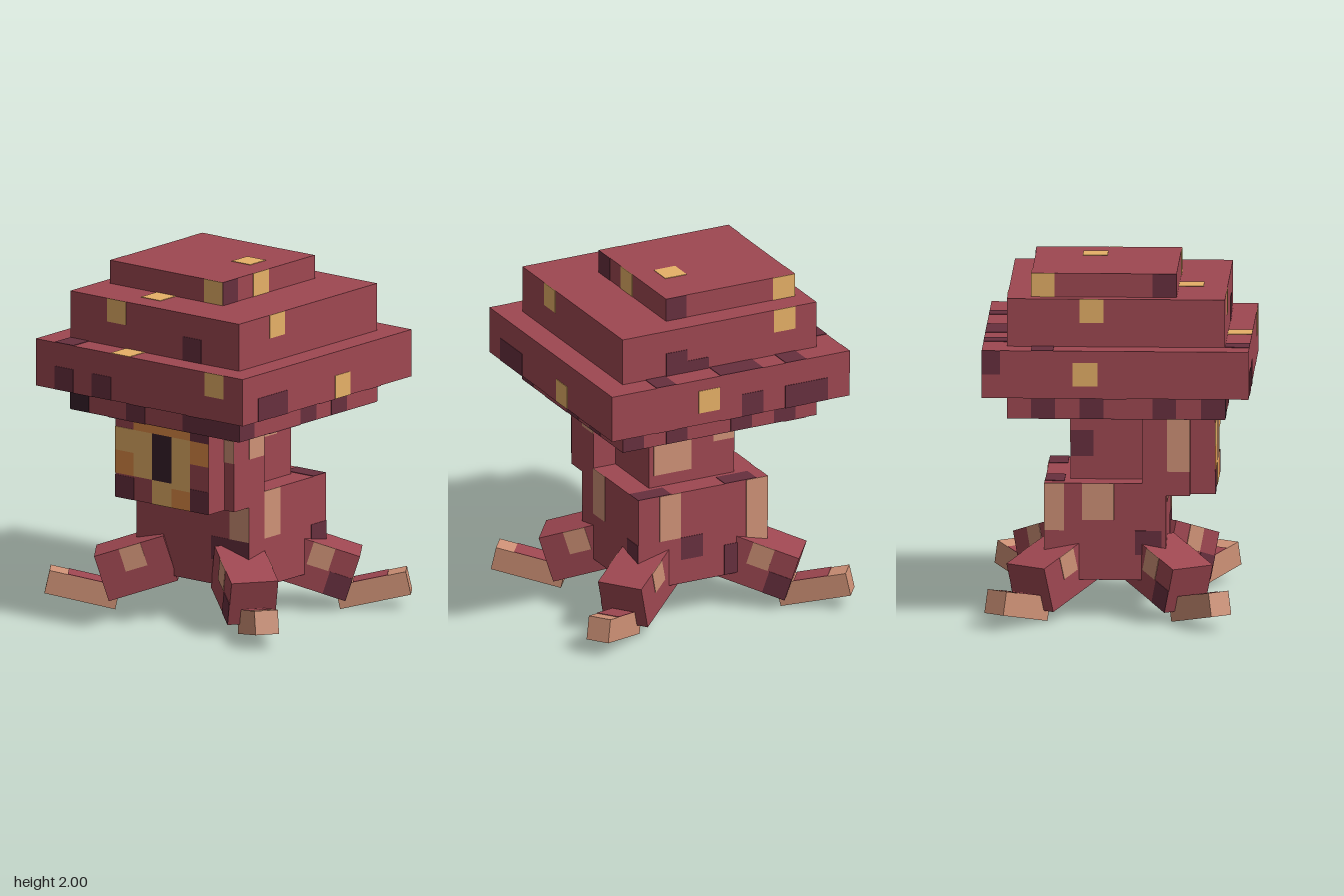
import * as THREE from 'three';

const mat = (name, color) => {
  const m = new THREE.MeshStandardMaterial({ color });
  m.name = name;
  return m;
};

export function createModel() {
  const maroon = mat('maroon', 0x9e4751), dark = mat('dark plum', 0x672f3e);
  const black = mat('eye black', 0x38202c), gold = mat('gold', 0xe6b067);
  const orange = mat('orange', 0xe08c47), tan = mat('tan', 0xce9176);
  const model = new THREE.Group();

  // Box from its minimum and maximum corners
  const box = (parent, name, m, x0, x1, y0, y1, z0, z1) => {
    const mesh = new THREE.Mesh(new THREE.BoxGeometry(x1 - x0, y1 - y0, z1 - z0), m);
    mesh.position.set((x0 + x1) / 2, (y0 + y1) / 2, (z0 + z1) / 2);
    mesh.name = name;
    parent.add(mesh);
    return mesh;
  };

  // Thin patches lying on a plane; each entry is [material, a0, a1, b0, b1].
  // x planes take (z, y), y planes take (x, z), z planes take (x, y).
  const T = 0.003;
  const paint = (parent, name, axis, sign, at, list) => {
    const p = [Math.min(at, at + sign * T), Math.max(at, at + sign * T)];
    for (const [m, a0, a1, b0, b1] of list) {
      const r = axis === 'x' ? [...p, b0, b1, a0, a1]
        : axis === 'y' ? [a0, a1, ...p, b0, b1] : [a0, a1, b0, b1, ...p];
      box(parent, name, m, ...r);
    }
  };

  // Stepped cap
  const cap = new THREE.Group();
  cap.name = 'cap';
  model.add(cap);
  box(cap, 'capRim', maroon, -0.615, 0.615, 1.18, 1.32, -0.615, 0.615);
  box(cap, 'capBrim', maroon, -0.753, 0.753, 1.32, 1.592, -0.753, 0.753);
  box(cap, 'capCrown', maroon, -0.615, 0.615, 1.592, 1.865, -0.615, 0.615);
  box(cap, 'capTop', maroon, -0.548, 0.27, 1.865, 2, -0.478, 0.34);

  // Spots on the cap top
  paint(cap, 'capTopSpot', 'z', 1, 0.34, [[gold, 0.135, 0.27, 1.865, 2]]);
  paint(cap, 'capTopSpot', 'x', 1, 0.27, [[dark, 0.205, 0.34, 1.865, 2], [gold, -0.07, 0.07, 1.865, 2]]);
  paint(cap, 'capTopSpot', 'z', -1, -0.478, [[dark, 0.14, 0.27, 1.865, 2], [gold, -0.548, -0.41, 1.865, 2]]);
  paint(cap, 'capTopSpot', 'x', -1, -0.548, [[gold, -0.478, -0.35, 1.865, 2], [dark, 0.205, 0.34, 1.865, 2]]);
  paint(cap, 'capTopSpot', 'y', 1, 2, [[gold, 0, 0.135, -0.21, -0.07]]);

  // Spots on the crown
  paint(cap, 'crownSpot', 'z', 1, 0.615, [[gold, -0.345, -0.21, 1.73, 1.865], [dark, 0.205, 0.34, 1.592, 1.73]]);
  paint(cap, 'crownSpot', 'x', 1, 0.615, [[gold, 0.21, 0.345, 1.73, 1.865]]);
  paint(cap, 'crownSpot', 'z', -1, -0.615, [[dark, 0.07, 0.205, 1.592, 1.66],
    [dark, 0.205, 0.34, 1.592, 1.73], [gold, -0.48, -0.345, 1.73, 1.865]]);
  paint(cap, 'crownSpot', 'x', -1, -0.615, [[gold, -0.205, -0.07, 1.73, 1.865]]);
  paint(cap, 'crownSpot', 'y', 1, 1.865, [[gold, -0.21, -0.07, 0.34, 0.48]]);

  // Spots on the brim
  paint(cap, 'brimSpot', 'z', 1, 0.753, [[gold, 0.48, 0.615, 1.455, 1.592],
    [dark, -0.615, -0.48, 1.32, 1.455], [dark, -0.345, -0.205, 1.32, 1.455]]);
  paint(cap, 'brimSpot', 'x', 1, 0.753, [[dark, 0.35, 0.615, 1.32, 1.455], [gold, -0.205, -0.07, 1.32, 1.455]]);
  paint(cap, 'brimSpot', 'z', -1, -0.753, [[gold, 0.07, 0.205, 1.39, 1.525],
    [dark, -0.205, -0.07, 1.32, 1.455], [dark, -0.615, -0.345, 1.32, 1.455]]);
  paint(cap, 'brimSpot', 'x', -1, -0.753, [[dark, -0.753, -0.65, 1.455, 1.592], [gold, -0.24, -0.1, 1.39, 1.525]]);
  paint(cap, 'brimSpot', 'y', 1, 1.592, [[gold, -0.21, -0.07, 0.615, 0.753], [dark, -0.615, -0.48, 0.615, 0.753],
    [dark, -0.48, -0.35, -0.753, -0.615], [dark, -0.205, 0.065, -0.753, -0.615],
    [dark, 0.345, 0.47, -0.753, -0.615], [dark, -0.753, -0.615, -0.475, -0.35]]);
  // Broken dark band under the brim
  for (const a of [-0.48, -0.07, 0.34]) {
    paint(cap, 'brimSpot', 'y', -1, 1.32, [
      [dark, 0.615, 0.753, a, a + 0.135], [dark, -0.753, -0.615, a, a + 0.135],
      [dark, a, a + 0.135, 0.615, 0.753], [dark, a, a + 0.135, -0.753, -0.615]]);
  }

  // Spots on the rim
  paint(cap, 'rimSpot', 'z', 1, 0.615, [[black, -0.615, -0.48, 1.18, 1.32],
    [dark, -0.205, -0.07, 1.18, 1.32], [dark, 0.205, 0.615, 1.18, 1.32]]);
  paint(cap, 'rimSpot', 'x', 1, 0.615, [[dark, 0.48, 0.615, 1.18, 1.32],
    [dark, -0.07, 0.07, 1.18, 1.32], [dark, -0.34, -0.205, 1.18, 1.32]]);
  for (const axis of ['z', 'x']) {
    paint(cap, 'rimSpot', axis, -1, -0.615, [[dark, -0.48, -0.345, 1.18, 1.32],
      [dark, -0.205, -0.07, 1.18, 1.32], [dark, 0.205, 0.34, 1.18, 1.32], [dark, 0.48, 0.615, 1.18, 1.32]]);
  }
  // Dark underside of the cap with lighter spots
  paint(cap, 'rimUnderside', 'y', -1, 1.18, [[dark, -0.615, 0.615, -0.615, 0.615]]);
  paint(cap, 'rimUndersideSpot', 'y', -1, 1.18 - T, [
    [maroon, 0.34, 0.48, -0.34, -0.07], [maroon, 0.07, 0.34, -0.55, -0.41],
    [maroon, -0.2, -0.07, -0.48, -0.34], [maroon, -0.55, -0.41, -0.615, -0.41],
    [maroon, 0.48, 0.615, 0.07, 0.34], [maroon, -0.55, -0.41, -0.2, 0.07],
    [maroon, -0.34, -0.07, 0.48, 0.615], [maroon, 0.2, 0.41, 0.41, 0.55],
    [tan, -0.34, -0.2, -0.55, -0.41]]);

  // Head, neck and body
  box(model, 'faceBlock', maroon, -0.34, 0.34, 0.7, 1.18, 0.41, 0.55);
  box(model, 'head', maroon, -0.41, 0.41, 0.7, 1.18, 0.14, 0.41);
  box(model, 'neck', maroon, -0.27, 0.27, 0.77, 1.18, -0.27, 0.14);
  box(model, 'body', maroon, -0.41, 0.41, 0.22, 0.77, -0.41, 0.275);

  // Single-eyed face
  paint(model, 'eye', 'z', 1, 0.55, [[black, -0.07, 0.07, 0.84, 1.11]]);
  paint(model, 'facePatch', 'z', 1, 0.55, [
    [orange, -0.205, 0.205, 1.11, 1.18], [dark, 0.205, 0.34, 1.11, 1.18],
    [gold, -0.34, -0.205, 0.975, 1.11], [gold, -0.205, -0.07, 0.84, 1.11],
    [gold, 0.07, 0.205, 0.84, 1.11], [orange, 0.205, 0.34, 0.975, 1.11],
    [orange, -0.34, -0.205, 0.84, 0.975], [dark, -0.34, -0.205, 0.7, 0.83],
    [gold, -0.07, 0.07, 0.7, 0.84], [gold, 0.07, 0.205, 0.81, 0.84],
    [orange, 0.07, 0.205, 0.7, 0.81], [dark, 0.205, 0.34, 0.7, 0.83]]);

  // Patches on the head and neck
  paint(model, 'headPatch', 'z', 1, 0.41, [[tan, 0.34, 0.41, 0.98, 1.11]]);
  paint(model, 'headPatch', 'x', 1, 0.41, [[tan, 0.14, 0.275, 0.98, 1.18]]);
  paint(model, 'headPatch', 'x', -1, -0.41, [[tan, 0.28, 0.41, 0.84, 1.18]]);
  paint(model, 'neckPatch', 'x', 1, 0.27, [[tan, -0.14, 0.14, 1.03, 1.18], [tan, 0, 0.14, 0.9, 1.03]]);
  paint(model, 'neckPatch', 'z', -1, -0.27, [[tan, -0.27, 0.27, 1.05, 1.18],
    [tan, 0, 0.24, 0.84, 1.05], [tan, -0.27, -0.14, 0.98, 1.05]]);
  paint(model, 'neckPatch', 'x', -1, -0.27, [[dark, -0.27, -0.14, 0.9, 1.05]]);

  // Patches on the body
  paint(model, 'bodyPatch', 'z', 1, 0.275, [[tan, -0.275, -0.14, 0.64, 0.7],
    [tan, 0.27, 0.41, 0.495, 0.7], [dark, 0.135, 0.27, 0.36, 0.495], [dark, 0.27, 0.41, 0.36, 0.495]]);
  paint(model, 'bodyPatch', 'x', 1, 0.41, [[tan, 0, 0.14, 0.495, 0.77], [dark, -0.41, -0.275, 0.36, 0.495]]);
  paint(model, 'bodyPatch', 'z', -1, -0.41, [[tan, 0.14, 0.275, 0.495, 0.77], [dark, 0, 0.14, 0.36, 0.495],
    [dark, -0.27, -0.135, 0.22, 0.4], [tan, -0.41, -0.275, 0.36, 0.77]]);
  paint(model, 'bodyPatch', 'x', -1, -0.41, [[tan, -0.41, -0.3, 0.5, 0.77],
    [tan, -0.2, -0.02, 0.56, 0.77], [dark, 0.1, 0.25, 0.36, 0.5]]);
  paint(model, 'bodyPatch', 'y', 1, 0.77, [[dark, 0.2, 0.41, -0.41, -0.3], [dark, -0.34, -0.14, -0.41, -0.3]]);
  paint(model, 'bodyUnderside', 'y', -1, 0.22, [[dark, -0.41, 0.41, -0.41, 0.275]]);

  // Four splayed legs, each a sloping thigh and an upturned foot
  for (const sx of [1, -1]) for (const sz of [1, -1]) {
    const leg = new THREE.Group();
    leg.name = (sz > 0 ? 'front' : 'back') + (sx > 0 ? 'Left' : 'Right') + 'Leg';
    leg.position.set(sx * 0.18, 0.003, -0.04 + sz * 0.176);
    leg.rotation.y = Math.atan2(-sz * 0.595, sx * 0.805);
    model.add(leg);

    const thigh = new THREE.Group();
    thigh.name = 'thigh';
    thigh.position.set(0.263, 0.254, 0);
    thigh.rotation.z = -0.31;
    leg.add(thigh);
    box(thigh, 'thighBlock', maroon, -0.205, 0.205, -0.136, 0.136, -0.136, 0.136);
    for (const s of [1, -1]) {
      paint(thigh, 'thighPatch', 'z', s, s * 0.136, [[tan, -0.068, 0.06, 0, 0.136]]);
    }
    paint(thigh, 'thighPatch', 'z', 1, 0.136, [[dark, 0.07, 0.205, -0.136, 0]]);

    const foot = new THREE.Group();
    foot.name = 'foot';
    foot.position.set(0.569, 0.109, 0);
    foot.rotation.z = 0.218;
    leg.add(foot);
    box(foot, 'footBlock', [tan, tan, tan, maroon, tan, tan], -0.205, 0.205, -0.068, 0.068, -0.068, 0.068);
    paint(foot, 'footPatch', 'y', 1, 0.068, [[maroon, -0.1, 0.1, -0.068, 0.068]]);
  }
  return model;
}
